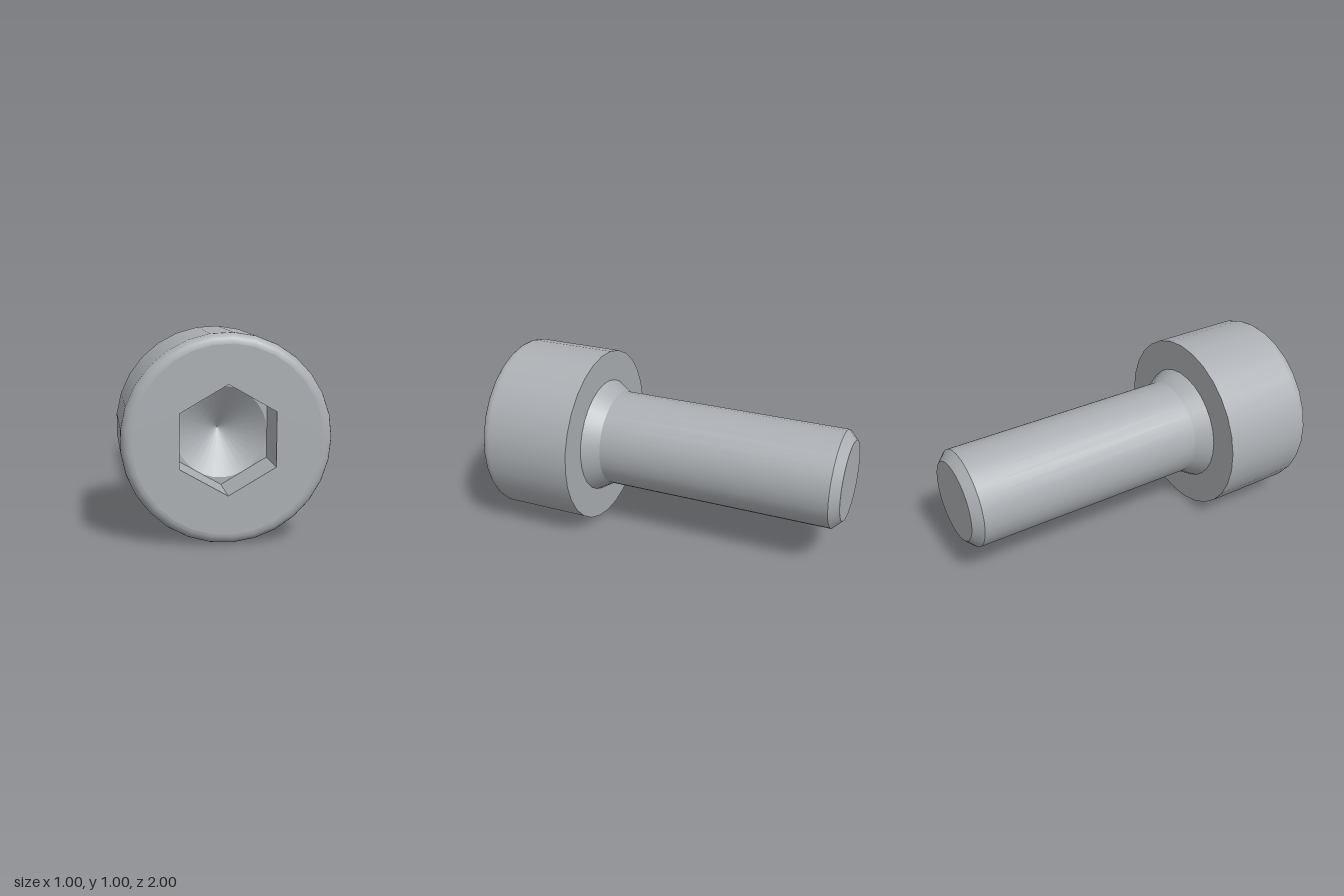
import * as THREE from 'three';

const SIDES = 29;
const HEX_FLAT = 0.2273;                       // half the width across flats
const HEX_R = HEX_FLAT / Math.cos(Math.PI / 6);
const FLOOR_Z = 0.764;                         // depth of the socket walls

const polygon = (r, n, start = 0) => Array.from({ length: n }, (_, i) => {
  const a = start + (i / n) * Math.PI * 2;
  return new THREE.Vector2(r * Math.cos(a), r * Math.sin(a));
});

export function createModel() {
  const steel = new THREE.MeshStandardMaterial({ color: 0xabafb3 });
  steel.name = 'steel grey';

  const screw = new THREE.Group();
  screw.name = 'socketHeadScrew';

  const add = (name, geometry) => {
    const mesh = new THREE.Mesh(geometry, steel);
    mesh.name = name;
    screw.add(mesh);
  };

  // Revolves [radius, z] points about the z axis; separate calls keep edges sharp
  const turned = (name, points) => add(name, new THREE.LatheGeometry(
    points.map(([r, z]) => new THREE.Vector2(r, z)), SIDES, Math.PI / 2).rotateX(Math.PI / 2));

  // Flat front-facing plate with a hole
  const plate = (name, outer, hole, z) => {
    const shape = new THREE.Shape(outer);
    shape.holes.push(new THREE.Path(hole));
    add(name, new THREE.ShapeGeometry(shape).translate(0, 0, z));
  };

  // Shank, from the tip to the flare below the head
  turned('shankTip', [[0, -1], [0.222, -1]]);
  turned('tipChamfer', [[0.222, -1], [0.2727, -0.95]]);
  turned('shank', [[0.2727, -0.95], [0.2727, 0.364]]);
  turned('neckFlare', [[0.2727, 0.364], [0.327, 0.4545]]);

  // Head with a rounded front rim
  turned('headUnderside', [[0.327, 0.4545], [0.5, 0.4545]]);
  const side = [[0.5, 0.4545], [0.5, 0.94]];
  for (let i = 0; i <= 6; i++) {
    const a = (i / 6) * Math.PI / 2;
    side.push([0.45 + 0.05 * Math.cos(a), 0.95 + 0.05 * Math.sin(a)]);
  }
  turned('headSide', side);
  const hexagon = polygon(HEX_R, 6, Math.PI / 6);
  plate('headFace', polygon(0.45, SIDES), hexagon, 1);

  // Hexagonal socket, turned inside out so the walls face inwards
  const depth = 1 - FLOOR_Z;
  const walls = new THREE.CylinderGeometry(HEX_R, HEX_R, depth, 6, 1, true)
    .scale(1, -1, 1).rotateX(Math.PI / 2).translate(0, 0, FLOOR_Z + depth / 2).toNonIndexed();
  walls.computeVertexNormals();
  add('socketWalls', walls);
  plate('socketFloor', hexagon, polygon(HEX_FLAT * 0.999, SIDES), FLOOR_Z);
  turned('socketCone', [[HEX_FLAT * 0.999, FLOOR_Z], [0, FLOOR_Z - 0.15]]);

  screw.position.set(-0.0015, 0.5, 0);
  const model = new THREE.Group();
  model.name = 'screwModel';
  model.add(screw);
  return model;
}
